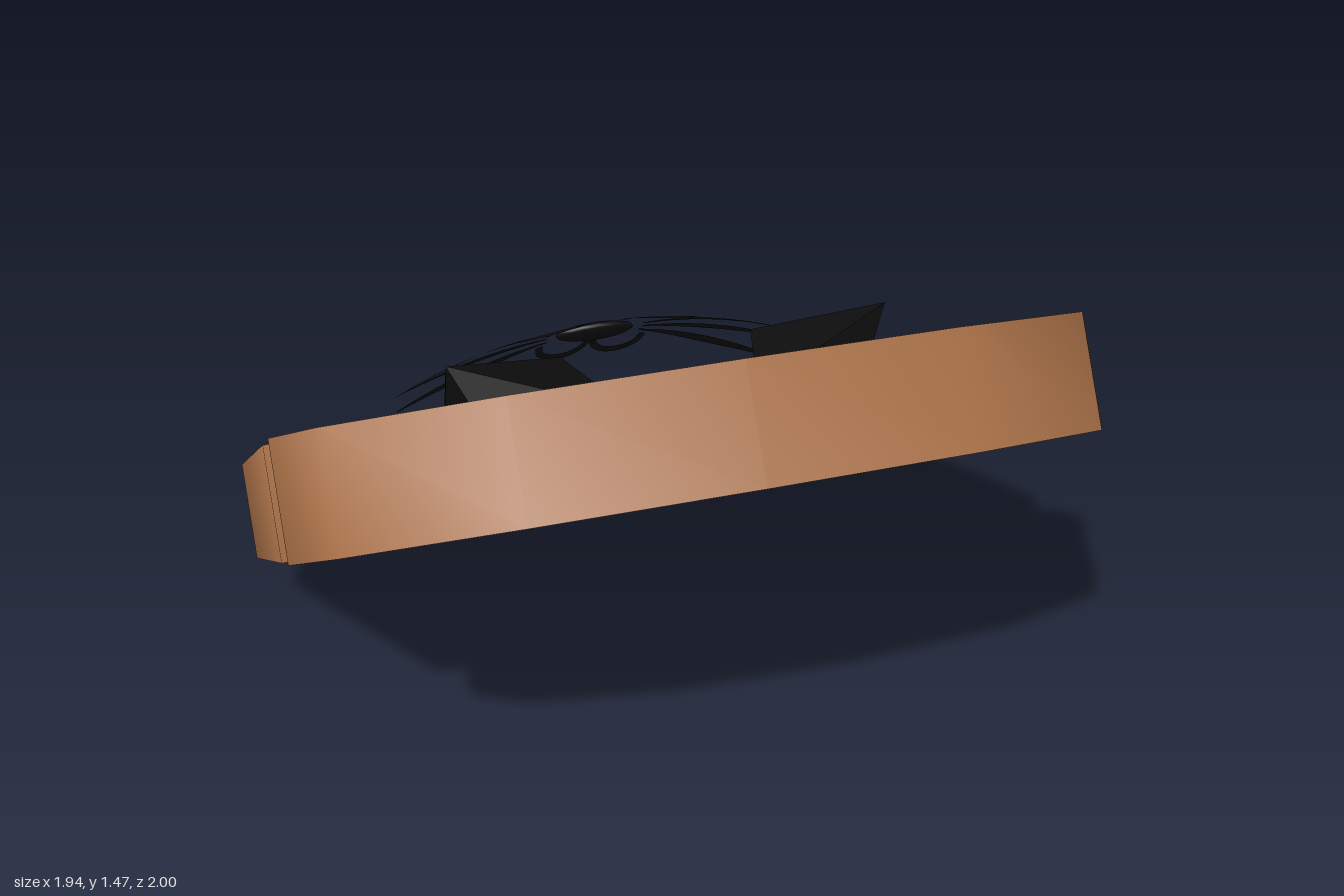
import * as THREE from 'three';
import { toCreasedNormals } from 'three/addons/utils/BufferGeometryUtils.js';
import { ConvexGeometry } from 'three/addons/geometries/ConvexGeometry.js';

const THICKNESS = 0.275;
const TILT = Math.atan2(1.24, 1.85);
const BACK_Y = 0.23; // height of the slice's upper face at its back edge (z = -1)

// Right half outlines seen from above, as [x, z], from back to front
const OUTER = [[0.53, -1], [0.835, -0.92], [0.963, -0.693], [0.963, 0.28], [0.85, 0.355],
  [0.94, 0.435], [0.968, 0.545], [0.878, 0.683], [0.503, 0.808], [0, 0.845]];
const INNER = [[0.485, -0.96], [0.78, -0.885], [0.903, -0.69], [0.91, 0.25], [0.815, 0.335], [0.812, 0.362],
  [0.9, 0.44], [0.916, 0.52], [0.8, 0.645], [0.49, 0.77], [0, 0.802]];

// Height of the upper face of the slice, and of the domed face floating above it
const planeY = z => BACK_Y + (z + 1) * Math.tan(TILT);
const faceY = (x, z) => {
  const t = -z - 0.14;
  return 1.04 - 0.333 * t - 1.824 * t * t - 0.4 * x * x;
};

// Mirrored outline, laid out along the slope
function outline(half) {
  const other = half.slice(0, -1).reverse().map(([x, z]) => [-x, z]);
  return [...half, ...other].map(([x, z]) => new THREE.Vector2(x, (z + 1) / Math.cos(TILT)));
}

// Extrude down from the upper face and lean the slice back
function slab(shape) {
  const g = new THREE.ExtrudeGeometry(shape, { depth: THICKNESS, bevelEnabled: false });
  g.rotateX(Math.PI / 2 - TILT).translate(0, BACK_Y, -1);
  return toCreasedNormals(g, 0.9);
}

// Flat brush stroke through [x, z] points, draped over the domed face
function stroke(points, width, side) {
  const curve = new THREE.CatmullRomCurve3(points.map(([x, z]) => new THREE.Vector3(x * side, 0, z)));
  const n = 16, pos = [], index = [];
  for (let i = 0; i <= n; i++) {
    const p = curve.getPoint(i / n), t = curve.getTangent(i / n), w = width(i / n) / 2;
    for (const s of [1, -1]) {
      const x = p.x + s * w * t.z, z = p.z - s * w * t.x;
      pos.push(x, faceY(x, z), z);
    }
    if (i < n) {
      const a = 2 * i;
      index.push(a, a + 2, a + 1, a + 1, a + 2, a + 3);
    }
  }
  const g = new THREE.BufferGeometry();
  g.setAttribute('position', new THREE.Float32BufferAttribute(pos, 3));
  g.setIndex(index);
  g.computeVertexNormals();
  return g;
}

export function createModel() {
  const model = new THREE.Group();
  model.name = 'catFacedBreadSlice';
  const material = (name, color, extra = {}) => {
    const m = new THREE.MeshStandardMaterial({ color, ...extra });
    m.name = name;
    return m;
  };
  const crustBrown = material('crustBrown', 0xa87047);
  const crumbTan = material('crumbTan', 0xc8ae7a);
  const black = material('black', 0x0d0d0d, { side: THREE.DoubleSide });
  const add = (name, geometry, mat) => {
    const mesh = new THREE.Mesh(geometry, mat);
    mesh.name = name;
    model.add(mesh);
    return mesh;
  };

  // Slice: crust ring around the crumb
  const ring = new THREE.Shape(outline(OUTER));
  ring.holes.push(new THREE.Path(outline(INNER)));
  add('crust', slab(ring), crustBrown);
  add('crumb', slab(new THREE.Shape(outline(INNER))), crumbTan);

  // Nose: flattened ball lying on the domed face
  const nose = add('nose', new THREE.SphereGeometry(1, 16, 10), black);
  nose.scale.set(0.11, 0.02, 0.055);
  nose.rotation.x = -Math.PI / 4;
  nose.position.set(0, faceY(0, -0.322), -0.322);

  // Ear corners as [x, z, height above the slice]
  const ear = [[0.515, 0.15, 0], [0.185, 0.42, 0], [0.285, 0.465, 0], [0.49, 0.4, 0],
    [0.535, 0.28, 0], [0.24, 0.235, 0.12], [0.54, 0.35, 0.13]];
  const whiskers = [
    [[0.13, -0.338], [0.34, -0.378], [0.545, -0.402]],
    [[0.135, -0.315], [0.34, -0.305], [0.565, -0.288]],
    [[0.13, -0.295], [0.32, -0.225], [0.55, -0.178]],
  ];
  const taper = t => 0.006 + 0.022 * Math.sin(Math.PI * t);

  for (const [side, label] of [[1, 'left'], [-1, 'right']]) {
    const corners = ear.map(([x, z, h]) => new THREE.Vector3(x * side, planeY(z) + h, z));
    add(label + 'Ear', new ConvexGeometry(corners), black);
    add(label + 'ClosedEye', stroke([[0.25, -0.185], [0.215, -0.158], [0.155, -0.153], [0.085, -0.178],
      [0.053, -0.23]], () => 0.033, side), black);
    add(label + 'Mouth', stroke([[0.148, -0.358], [0.138, -0.395], [0.1, -0.419], [0.05, -0.419],
      [0.016, -0.395], [0.006, -0.355]], () => 0.02, side), black);
    whiskers.forEach((w, i) => add(`${label}Whisker${i + 1}`, stroke(w, taper, side), black));
  }
  return model;
}
